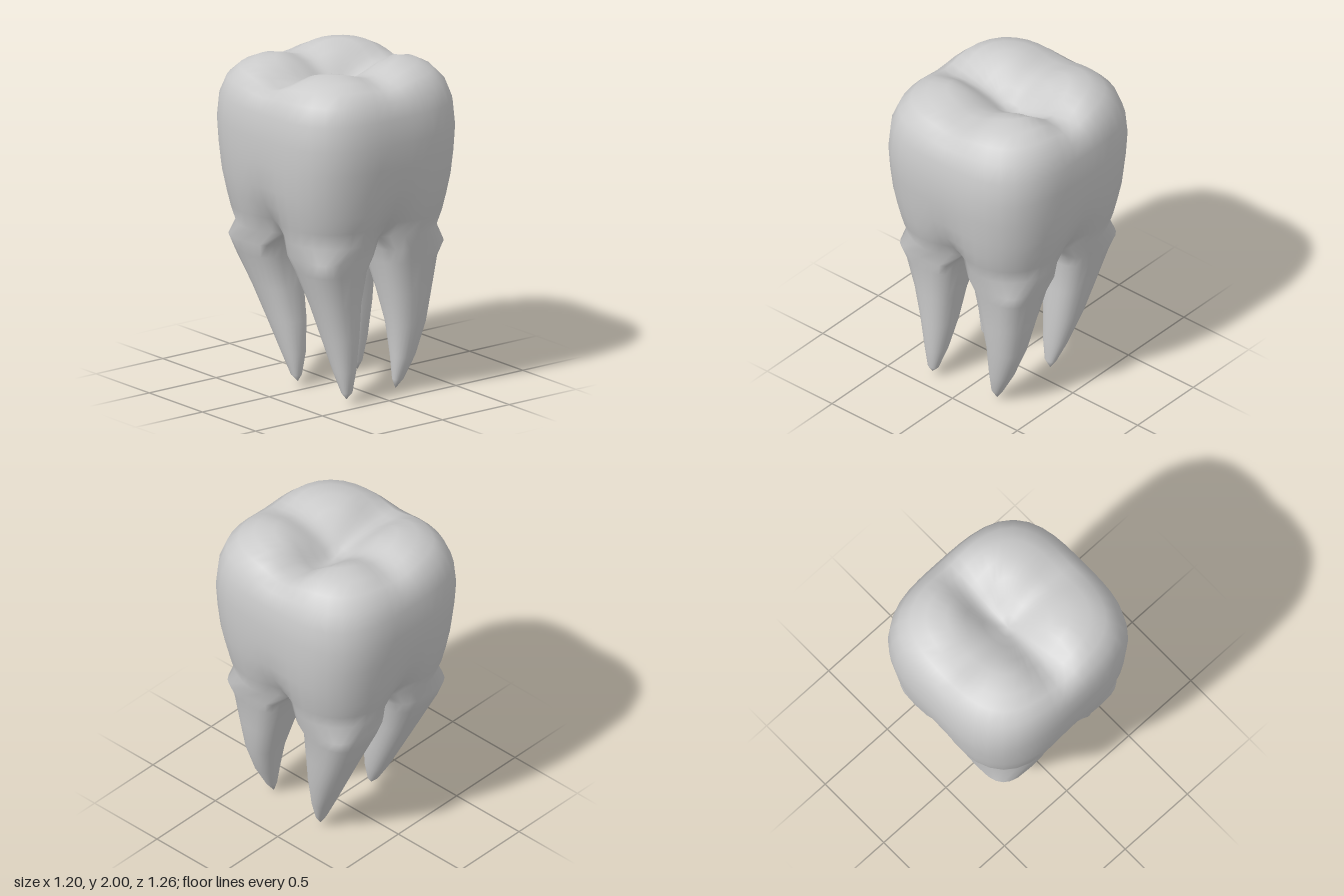
import * as THREE from 'three';

const K = 12;          // segments per crown quadrant
const N = 4 * K;       // segments around the crown
const bell = (t, w) => Math.exp(-((t / w) ** 2));

// Crown rings from the chewing surface down: y, half width, half depth, fissure weight, side notch
const CROWN = [
  [1.975, 0.06, 0.06, 1, 0], [1.98, 0.13, 0.13, 1, 0], [1.99, 0.22, 0.22, 1, 0],
  [2.0, 0.31, 0.32, 1, 0], [1.975, 0.41, 0.43, 0.9, 0], [1.93, 0.49, 0.51, 0.5, 0],
  [1.86, 0.55, 0.575, 0.2, 0], [1.75, 0.59, 0.612, 0, 0], [1.6, 0.6, 0.628, 0, 0],
  [1.45, 0.594, 0.616, 0, 0], [1.3, 0.582, 0.597, 0, 0.015], [1.18, 0.558, 0.577, 0, 0.05],
  [1.08, 0.537, 0.555, 0, 0.12], [0.98, 0.51, 0.522, 0, 0.22],
];

// Roots, one per quadrant: x/z signs, tip, and rings of y, outer x, inner x, outer z, inner z
const TOP = [[0.89, 0.485, 0.04, 0.5, 0.05], [0.8, 0.455, 0.07, 0.475, 0.085]];
const ROOTS = [
  { sx: 1, sz: 1, tip: [0.19, 0, 0.32], rings: [[0.6, 0.42, 0.11, 0.455, 0.15],
    [0.4, 0.385, 0.145, 0.43, 0.21], [0.2, 0.31, 0.16, 0.4, 0.26], [0.06, 0.235, 0.165, 0.36, 0.3]] },
  { sx: -1, sz: 1, tip: [-0.24, 0.03, 0.4], rings: [[0.6, 0.395, 0.11, 0.455, 0.16],
    [0.4, 0.345, 0.13, 0.45, 0.22], [0.2, 0.3, 0.165, 0.44, 0.3], [0.07, 0.27, 0.2, 0.425, 0.37]] },
  { sx: -1, sz: -1, tip: [-0.23, 0.03, -0.07], rings: [[0.6, 0.39, 0.115, 0.385, 0.08],
    [0.4, 0.345, 0.13, 0.29, 0.045], [0.2, 0.295, 0.16, 0.19, 0.04], [0.07, 0.265, 0.2, 0.11, 0.05]] },
  { sx: 1, sz: -1, tip: [0.24, 0.01, -0.1], rings: [[0.6, 0.42, 0.12, 0.39, 0.08],
    [0.4, 0.385, 0.15, 0.3, 0.075], [0.2, 0.33, 0.17, 0.2, 0.075], [0.06, 0.275, 0.2, 0.13, 0.08]] },
];

// Depth of the fissures and pits between the cusps
function fissure(x, z) {
  return 0.1 * bell(z + 0.015, 0.13) + 0.06 * bell(x, 0.13)
    + 0.05 * bell(Math.hypot(x - 0.18, z + 0.04), 0.13)
    + 0.02 * bell(Math.hypot(x + 0.28, z + 0.06), 0.13) - 0.03 * x + 0.008;
}

export function createModel() {
  const pos = [];
  const index = [];
  const vertex = (x, y, z) => pos.push(x, y, z) / 3 - 1;

  // Joins two closed rings (upper, lower); a single number stands for a point
  function bridge(upper, lower) {
    const n = upper.length || lower.length;
    const at = (ring, j) => (ring.length ? ring[j % n] : ring);
    for (let j = 0; j < n; j++) {
      const a = at(upper, j), b = at(upper, j + 1), c = at(lower, j + 1), d = at(lower, j);
      if (a !== b) index.push(a, b, c);
      if (c !== d) index.push(a, c, d);
    }
  }

  // Crown: rounded-square rings, notched towards the forks of the roots
  let ring = vertex(0, 1.97 - fissure(0, 0), 0);
  for (const [y, hx, hz, cut, notch] of CROWN) {
    const next = [];
    for (let j = 0; j < N; j++) {
      const a = (j / N) * Math.PI * 2;
      const c = Math.cos(a), s = Math.sin(a);
      const away = Math.min(Math.abs(c), Math.abs(s));
      const r = (Math.abs(c) ** 3.3 + Math.abs(s) ** 3.3) ** (-1 / 3.3) * (1 - notch * bell(away, 0.22));
      const x = hx * r * c, z = hz * r * s;
      next.push(vertex(x, y - cut * fissure(x, z), z));
    }
    bridge(ring, next);
    ring = next;
  }

  // Vault under the crown: four ridges from the forks to the centre, shared by the roots
  const centre = vertex(0, 1.01, 0);
  const ridges = [0, 1, 2, 3].map((k) => {
    const p = ring[k * K] * 3;
    const ids = [];
    for (let i = 1; i < K / 2; i++) {
      const t = 1 - i / (K / 2);
      ids.push(vertex(pos[p] * t, 1.01 + (pos[p + 1] - 1.01) * t, pos[p + 2] * t));
    }
    return ids;
  });

  // Roots: each starts from a quarter of the crown and tapers to its tip
  ROOTS.forEach(({ sx, sz, tip, rings }, k) => {
    const outer = [];
    for (let j = 0; j <= K; j++) outer.push(ring[(k * K + j) % N]);
    let upper = [...outer, ...ridges[(k + 1) % 4], centre, ...[...ridges[k]].reverse()];
    [...TOP, ...rings].forEach(([y, xo, xi, zo, zi], level) => {
      const e = Math.min(0.62 + level * 0.09, 0.9);
      const lower = [];
      for (let j = 0; j < 2 * K; j++) {
        const a = k * Math.PI / 2 - Math.PI / 4 + (j / K) * Math.PI;
        const c = Math.cos(a), s = Math.sin(a);
        lower.push(vertex(
          sx * (xo + xi) / 2 + Math.sign(c) * Math.abs(c) ** e * (xo - xi) / 2, y,
          sz * (zo + zi) / 2 + Math.sign(s) * Math.abs(s) ** e * (zo - zi) / 2));
      }
      bridge(upper, lower);
      upper = lower;
    });
    bridge(upper, vertex(...tip));
  });

  const geometry = new THREE.BufferGeometry();
  geometry.setAttribute('position', new THREE.Float32BufferAttribute(pos, 3));
  geometry.setIndex(index);
  geometry.computeVertexNormals();

  const tooth = new THREE.Mesh(geometry, new THREE.MeshStandardMaterial({ color: 0xcccccc }));
  tooth.name = 'molarTooth';
  const group = new THREE.Group();
  group.name = 'molar';
  group.add(tooth);
  return group;
}
